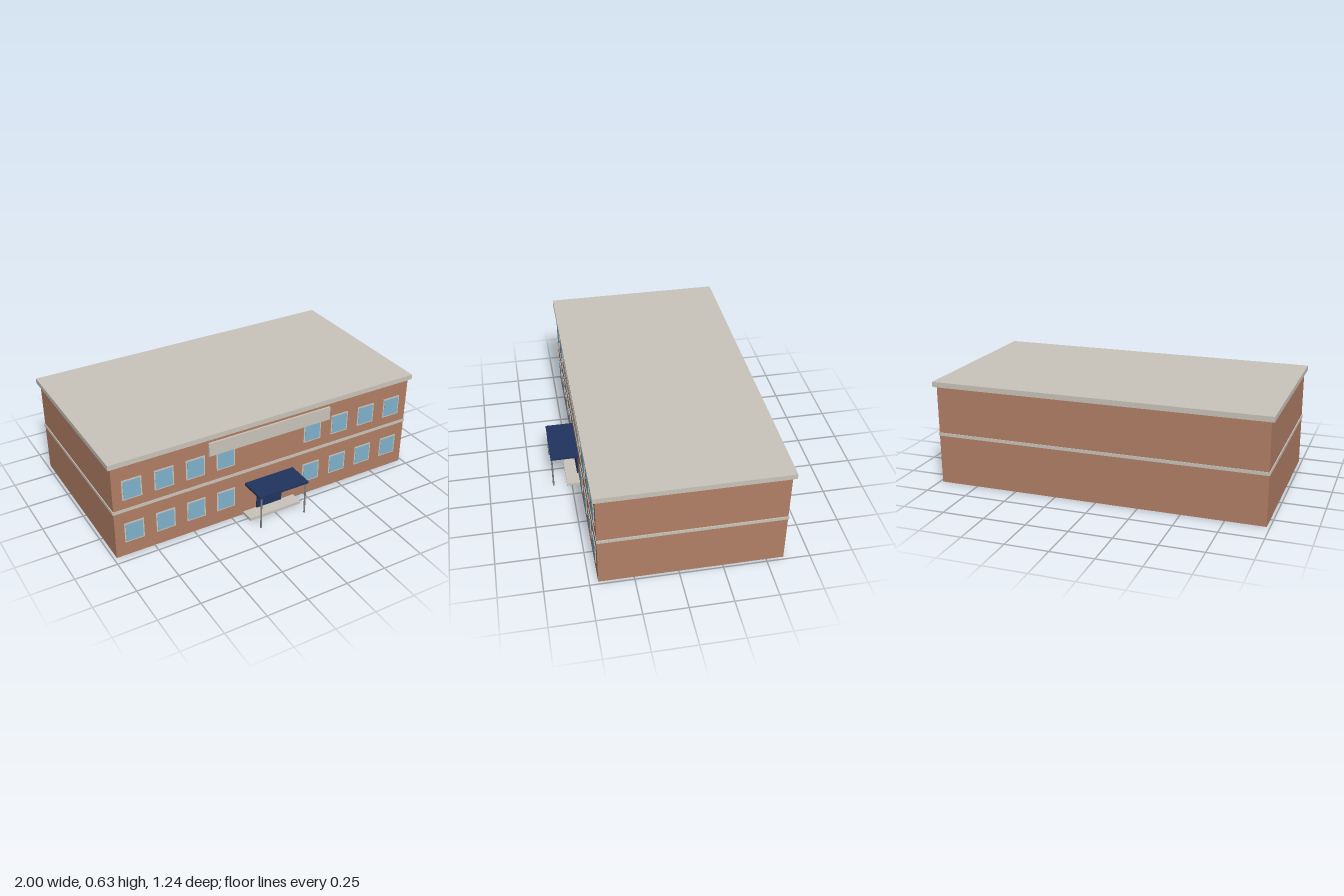
import * as THREE from 'three';

const mat = (name, color) => {
  const m = new THREE.MeshStandardMaterial({ color });
  m.name = name;
  return m;
};

export function createModel() {
  const brick = mat('brick', 0xb27f66);
  const stone = mat('pale stone', 0xc9c4ba);
  const navy = mat('navy', 0x20345f);
  const glass = mat('window glass', 0x7fb2cc);
  const steel = mat('grey steel', 0x808080);

  const model = new THREE.Group();
  model.name = 'officeBuilding';

  // Box given by its extents on each axis
  const box = (name, material, [x0, x1], [y0, y1], [z0, z1], parent = model) => {
    const mesh = new THREE.Mesh(new THREE.BoxGeometry(x1 - x0, y1 - y0, z1 - z0), material);
    mesh.position.set((x0 + x1) / 2, (y0 + y1) / 2, (z0 + z1) / 2);
    mesh.name = name;
    parent.add(mesh);
    return mesh;
  };

  const wall = 0.45; // front wall plane

  // Main volume, floor band and overhanging roof slab
  box('walls', brick, [-0.982, 0.982], [0, 0.6], [-0.6, wall]);
  box('floorBand', stone, [-0.987, 0.987], [0.294, 0.313], [-0.604, 0.453]);
  box('roofSlab', stone, [-1, 1], [0.595, 0.626], [-0.618, 0.465]);

  // Blank fascia panel over the entrance
  box('fasciaPanel', stone, [-0.402, 0.402], [0.488, 0.572], [0.453, 0.465]);

  // Two rows of windows, four on each side of the entrance
  for (const y of [0.152, 0.434]) {
    for (const side of [-1, 1]) {
      for (let i = 0; i < 4; i++) {
        const x = side * (0.291 + i * 0.192);
        const win = new THREE.Group();
        win.name = 'window';
        model.add(win);
        box('windowFrame', stone, [x - 0.059, x + 0.059], [y - 0.064, y + 0.064], [wall - 0.003, wall + 0.003], win);
        box('windowGlass', glass, [x - 0.051, x + 0.051], [y - 0.056, y + 0.056], [wall - 0.002, wall + 0.005], win);
      }
    }
  }

  // Entrance: step, door, canopy and its two posts
  const entrance = new THREE.Group();
  entrance.name = 'entrance';
  model.add(entrance);
  box('step', stone, [-0.173, 0.173], [0.002, 0.02], [wall, 0.53], entrance);
  box('door', navy, [-0.085, 0.085], [0.02, 0.185], [wall - 0.002, 0.458], entrance);
  box('canopy', navy, [-0.164, 0.164], [0.207, 0.221], [wall, 0.618], entrance);
  for (const side of [-1, 1]) {
    const post = new THREE.Mesh(new THREE.CylinderGeometry(0.005, 0.005, 0.208, 12), steel);
    post.position.set(side * 0.149, 0.104, 0.611);
    post.name = 'canopyPost';
    entrance.add(post);
  }

  return model;
}
